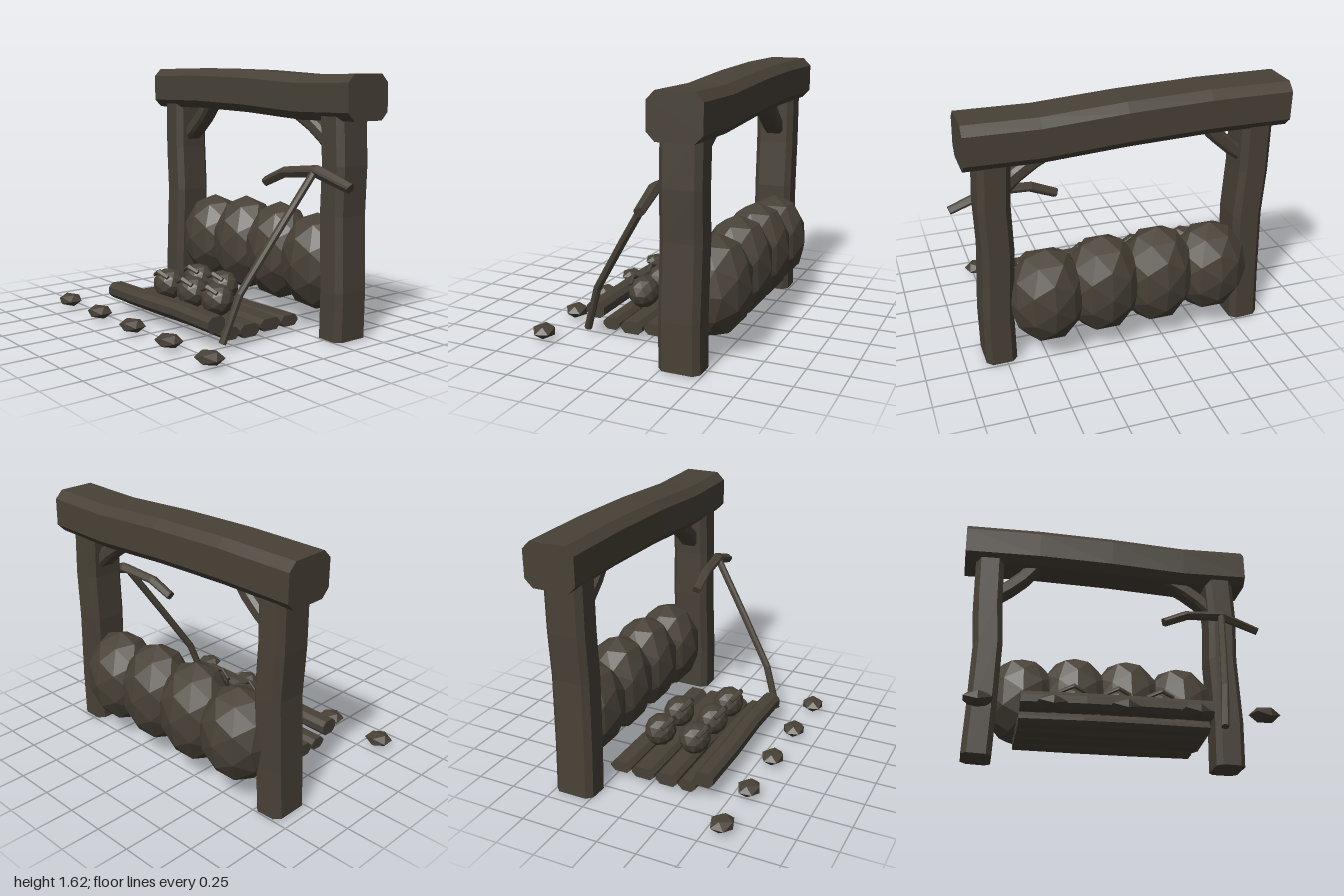
import * as THREE from 'three';

const wood = new THREE.MeshStandardMaterial({ color: 0x484137 });
wood.name = 'dark weathered brown';

function flatMesh(name, geometry, parent) {
  const flat = geometry.index ? geometry.toNonIndexed() : geometry;
  flat.computeVertexNormals();
  const mesh = new THREE.Mesh(flat, wood);
  mesh.name = name;
  parent.add(mesh);
  return mesh;
}

// Chamfered bar through points [x, y, z, scale]; w runs along ref x tangent, h across it
function timber(points, w, h, c, ref) {
  const P = points.map((p) => new THREE.Vector3(p[0], p[1], p[2]));
  const a = w / 2, b = h / 2;
  const section = [[a, c - b], [a, b - c], [a - c, b], [c - a, b], [-a, b - c], [-a, c - b], [c - a, -b], [a - c, -b]];
  const n = section.length, last = P.length - 1, pos = [], idx = [];
  P.forEach((p, i) => {
    const t = P[Math.min(i + 1, last)].clone().sub(P[Math.max(i - 1, 0)]).normalize();
    const s = ref.clone().cross(t).normalize();
    const u = t.clone().cross(s);
    const k = points[i][3] ?? 1;
    for (const [x, y] of section) {
      const v = p.clone().addScaledVector(s, x * k).addScaledVector(u, y * k);
      pos.push(v.x, v.y, v.z);
    }
  });
  for (let i = 0; i < last; i++) {
    for (let j = 0; j < n; j++) {
      const q = i * n + j, r = i * n + (j + 1) % n;
      idx.push(q, r, r + n, q, r + n, q + n);
    }
  }
  for (let j = 1; j < n - 1; j++) {
    idx.push(0, j + 1, j, last * n, last * n + j, last * n + j + 1);
  }
  const g = new THREE.BufferGeometry();
  g.setAttribute('position', new THREE.Float32BufferAttribute(pos, 3));
  g.setIndex(idx);
  return g;
}

function blob(name, parent, detail, center, radii) {
  const m = flatMesh(name, new THREE.IcosahedronGeometry(1, detail).scale(...radii), parent);
  m.position.set(...center);
  return m;
}

export function createModel() {
  const model = new THREE.Group();
  model.name = 'timberStall';
  const X = new THREE.Vector3(1, 0, 0), Y = new THREE.Vector3(0, 1, 0), Z = new THREE.Vector3(0, 0, 1);

  // Frame: crossbeam, posts and curved braces
  flatMesh('crossbeam', timber([
    [-1, 1.475, -0.378], [-0.5, 1.48, -0.38], [0, 1.468, -0.383], [0.5, 1.44, -0.383], [0.94, 1.447, -0.383],
  ], 0.325, 0.27, 0.05, Y), model);
  flatMesh('leftPost', timber([
    [0.78, 0.005, -0.365], [0.785, 0.3, -0.365], [0.765, 0.75, -0.37], [0.775, 1.05, -0.37], [0.76, 1.36, -0.37],
  ], 0.19, 0.255, 0.035, Z), model);
  flatMesh('rightPost', timber([
    [-0.838, 0, -0.365], [-0.825, 0.3, -0.365], [-0.81, 0.75, -0.37], [-0.828, 1.05, -0.37], [-0.83, 1.37, -0.37],
  ], 0.19, 0.255, 0.035, Z), model);
  flatMesh('rightBrace', timber([
    [-0.8, 1.12, -0.37], [-0.69, 1.2, -0.37], [-0.6, 1.28, -0.37], [-0.5, 1.4, -0.37],
  ], 0.09, 0.13, 0.02, Z), model);
  flatMesh('leftBrace', timber([
    [0.75, 1.1, -0.37], [0.63, 1.21, -0.37], [0.53, 1.28, -0.37], [0.36, 1.37, -0.37],
  ], 0.09, 0.13, 0.02, Z), model);

  // Row of plump sacks behind the platform
  [[-0.57, 0.42, 0.3], [-0.22, 0.425, 0.325], [0.13, 0.425, 0.325], [0.48, 0.41, 0.31]].forEach(([x, y, ry]) => {
    blob('sack', model, 1, [x, y, -0.44], [0.245, ry, 0.222]);
  });

  // Platform planks and the raised front rail
  const platform = new THREE.Group();
  platform.name = 'platform';
  model.add(platform);
  const slat = (name, z, y, w, h, bend) => flatMesh(name, timber([
    [-0.62, y - bend, z], [-0.25, y, z + bend], [0.12, y + bend, z - bend], [0.49, y, z],
  ], w, h, 0.028, Y), platform);
  slat('plank', 0.25, 0.065, 0.115, 0.075, 0.004);
  slat('plank', 0.112, 0.06, 0.145, 0.08, -0.004);
  slat('plank', -0.05, 0.07, 0.155, 0.075, 0.005);
  slat('plank', -0.205, 0.067, 0.14, 0.07, -0.003);
  slat('frontRail', 0.362, 0.138, 0.122, 0.1, 0.005);

  // Round bundles, each with a bent tie on its upper front
  for (const [x, z] of [[-0.3, 0.153], [-0.035, 0.153], [0.225, 0.153], [-0.3, -0.09], [-0.035, -0.09]]) {
    const bundle = new THREE.Group();
    bundle.name = 'bundle';
    bundle.position.set(x, 0.203, z);
    model.add(bundle);
    blob('bundleBody', bundle, 1, [0, 0, 0], [0.114, 0.103, 0.1]);
    flatMesh('bundleTie', timber([
      [-0.085, 0.055, 0.055, 0.8], [0, 0.09, 0.08], [0.075, 0.06, 0.06, 0.8],
    ], 0.035, 0.022, 0.007, new THREE.Vector3(0, 0.7, 0.7)), bundle);
  }

  // Pickaxe leaning on the left post
  const pick = new THREE.Group();
  pick.name = 'pickaxe';
  model.add(pick);
  flatMesh('pickHandle', timber([
    [0.56, 0.045, 0.375], [0.6, 0.33, 0.28], [0.665, 0.66, 0.07], [0.735, 1.02, -0.165],
  ], 0.044, 0.044, 0.013, X), pick);
  flatMesh('pickHead', timber([
    [0.33, 0.925, -0.14, 0.9], [0.49, 0.995, -0.15], [0.74, 1.02, -0.175, 1.1], [0.99, 0.94, -0.2, 0.9],
  ], 0.06, 0.055, 0.01, new THREE.Vector3(0, 0.85, 0.5)), pick);

  // Line of flat stones in front
  [-0.855, -0.46, -0.065, 0.33, 0.722].forEach((x, i) => {
    blob('stone', model, 0, [x, 0.049, 0.59], [0.092, 0.044, 0.078]).rotation.y = i * 0.08;
  });

  return model;
}
